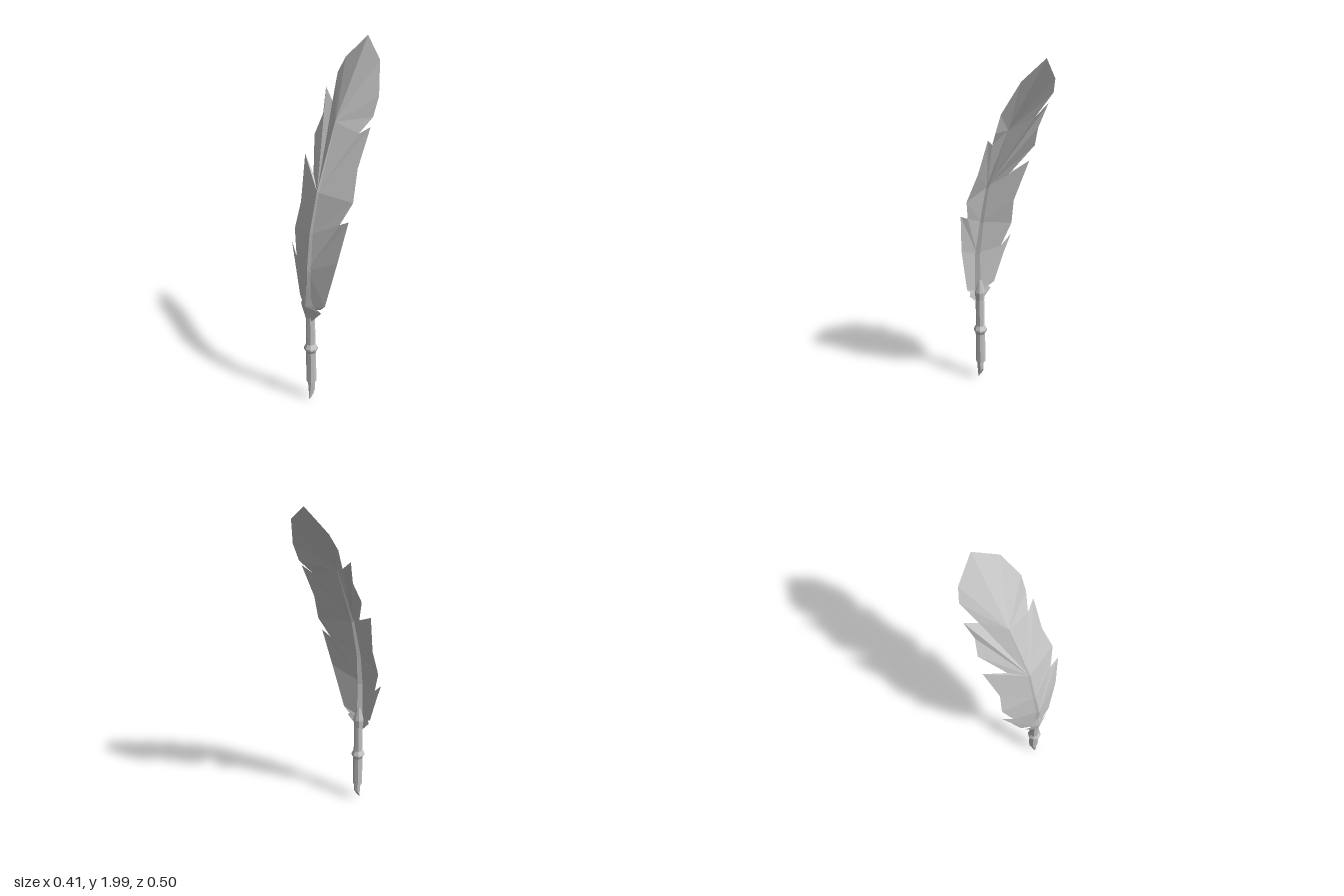
import * as THREE from 'three';

export function createModel() {
  const quill = new THREE.Group();
  quill.name = 'quillFeather';
  const grey = new THREE.MeshStandardMaterial({ color: 0xc4c4c4, flatShading: true, side: THREE.DoubleSide });
  grey.name = 'feather grey';

  const addMesh = (name, geometry) => {
    const mesh = new THREE.Mesh(geometry, grey);
    mesh.name = name;
    quill.add(mesh);
    return mesh;
  };
  // Triangles given as triples of points, wound to face +z
  const fromTriangles = (tris) => {
    const pos = [];
    for (const [a, b, c] of tris) {
      const cross = (b[0] - a[0]) * (c[1] - a[1]) - (b[1] - a[1]) * (c[0] - a[0]);
      pos.push(...(cross >= 0 ? [a, b, c] : [a, c, b]).flat());
    }
    const g = new THREE.BufferGeometry();
    g.setAttribute('position', new THREE.Float32BufferAttribute(pos, 3));
    g.computeVertexNormals();
    return g;
  };

  // Midrib points, bottom to top
  const spine = [[0.01, 0.6, 0.235], [0.01, 0.84, 0.23], [0, 1.04, 0.2], [0, 1.26, 0.147], [-0.02, 1.6, 0]];
  const tip = [-0.04, 2, -0.25];

  // One half of the vane: edge points [x, y, z, index of the midrib point it hangs from]
  const vane = (edge) => {
    const tris = [];
    for (let i = 0; i < edge.length - 1; i++) {
      const a = edge[i], b = edge[i + 1];
      const p = a.slice(0, 3), q = b.slice(0, 3);
      if (a[3] !== b[3]) tris.push([p, spine[a[3]], spine[b[3]]]);
      tris.push([p, q, spine[b[3]]]);
    }
    return fromTriangles(tris);
  };
  addMesh('leftVane', vane([
    [0.08, 0.62, 0.205, 0], [0.11, 0.65, 0.2, 0], [0.17, 0.92, 0.165, 1], [0.205, 1.15, 0.12, 1],
    [0.15, 1.12, 0.13, 1], [0.195, 1.24, 0.08, 2], [0.165, 1.4, 0.02, 3], [0.168, 1.6, -0.065, 3],
    [0.115, 1.56, -0.035, 3], [0.15, 1.64, -0.1, 4], [0.15, 1.74, -0.14, 4], [0.085, 1.9, -0.21, 4], [...tip, 4],
  ]));
  addMesh('rightVane', vane([
    [-0.06, 0.62, 0.21, 0], [-0.09, 0.64, 0.2, 0], [-0.15, 0.82, 0.18, 0], [-0.19, 0.925, 0.165, 0],
    [-0.13, 0.86, 0.185, 0], [-0.18, 1.0, 0.15, 1], [-0.165, 1.15, 0.115, 2], [-0.21, 1.39, 0.04, 3],
    [-0.095, 1.32, 0.085, 3], [-0.195, 1.49, -0.015, 3], [-0.175, 1.6, -0.06, 3], [-0.2, 1.73, -0.105, 3],
    [-0.13, 1.67, -0.085, 3], [-0.175, 1.8, -0.165, 4], [-0.15, 1.88, -0.2, 4], [...tip, 4],
  ]));

  // Tapered four-sided midrib
  const ribTris = [];
  const ribHalf = [0.024, 0.02, 0.015, 0.01, 0.002];
  const ring = (i) => {
    const [x, y, z] = spine[i], w = ribHalf[i];
    return [[x + w, y, z - w * 0.4], [x, y, z + w * 0.25], [x - w, y, z - w * 0.4], [x, y, z - w * 1.4]];
  };
  for (let i = 0; i < 4; i++) {
    const a = ring(i), b = ring(i + 1);
    for (let k = 0; k < 4; k++) {
      const n = (k + 1) % 4;
      ribTris.push([a[k], a[n], b[n]], [a[k], b[n], b[k]]);
    }
  }
  addMesh('midrib', fromTriangles(ribTris));

  // Small folded tuft over the base of the vane
  const ridge = [0.01, 0.63, 0.252];
  const tuft = [
    [0.005, 0.76, 0.236], [0.035, 0.69, 0.234], [0.05, 0.64, 0.23], [0.087, 0.6, 0.207], [0.025, 0.53, 0.225],
    [-0.015, 0.53, 0.225], [-0.072, 0.6, 0.21], [-0.04, 0.64, 0.232], [-0.025, 0.69, 0.234],
  ];
  addMesh('tuft', fromTriangles(tuft.map((p, i) => [p, tuft[(i + 1) % tuft.length], ridge])));

  // Turned shaft with a raised band
  const profile = [[0.019, 0.125], [0.028, 0.13], [0.028, 0.325], [0.039, 0.345], [0.039, 0.355],
    [0.026, 0.38], [0.025, 0.55], [0.03, 0.6], [0.012, 0.68]];
  const shaft = addMesh('shaft', new THREE.LatheGeometry(profile.map(([r, y]) => new THREE.Vector2(r, y)), 8));
  shaft.position.set(0.007, 0, 0.213);

  // Nib with its lower end cut on a slant and pinched to a point
  const nib = new THREE.CylinderGeometry(0.02, 0.02, 0.06, 8);
  const p = nib.attributes.position;
  for (let i = 0; i < p.count; i++) {
    if (p.getY(i) > 0) continue;
    const t = (p.getZ(i) + 0.02) / 0.04;
    p.setX(i, p.getX(i) * (1 - 0.7 * t));
    p.setY(i, -0.02 - 0.07 * t);
  }
  nib.computeVertexNormals();
  addMesh('nib', nib).position.set(0.009, 0.1, 0.215);

  // Stand the point on the ground
  quill.position.y = -new THREE.Box3().setFromObject(quill).min.y;
  const model = new THREE.Group();
  model.name = 'quill';
  model.add(quill);
  return model;
}
